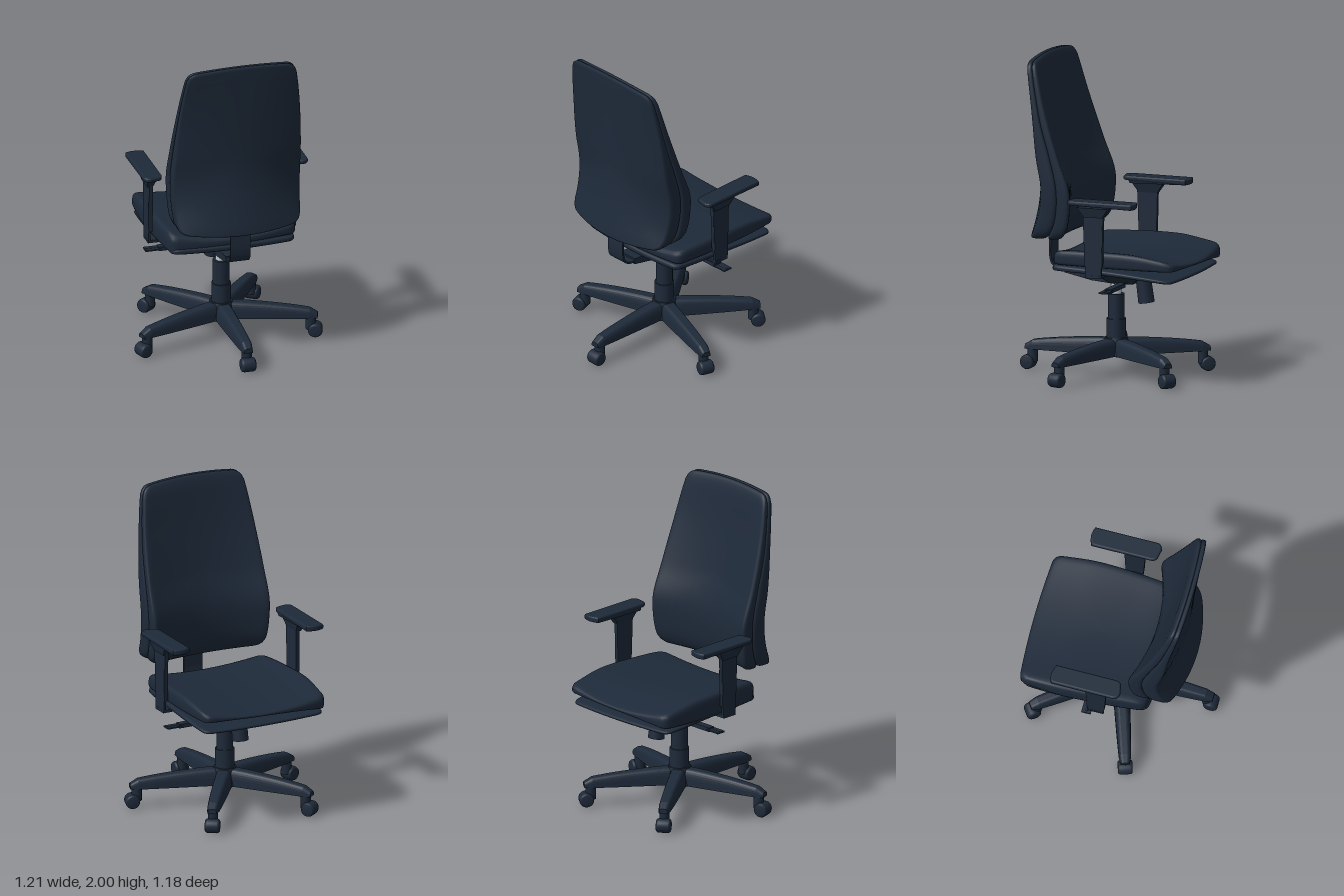
import * as THREE from 'three';

const dark = new THREE.MeshStandardMaterial({ color: 0x1e2a3a });
dark.name = 'dark navy';
const steel = new THREE.MeshStandardMaterial({ color: 0xc4c9ce });
steel.name = 'light steel';

const CZ = -0.035; // column axis

function add(parent, name, geo, x = 0, y = 0, z = 0, mat = dark) {
  const m = new THREE.Mesh(geo, mat);
  m.name = name;
  m.position.set(x, y, z);
  parent.add(m);
  return m;
}

// Smooth interpolation through [key, value] pairs with rising keys
function curve(t) {
  const slope = i => {
    const a = t[Math.max(i - 1, 0)], b = t[Math.min(i + 1, t.length - 1)];
    return (b[1] - a[1]) / (b[0] - a[0]);
  };
  return k => {
    if (k <= t[0][0]) return t[0][1];
    if (k >= t[t.length - 1][0]) return t[t.length - 1][1];
    let i = 0;
    while (k > t[i + 1][0]) i++;
    const h = t[i + 1][0] - t[i][0], s = (k - t[i][0]) / h;
    return (1 + 2 * s) * (1 - s) ** 2 * t[i][1] + s * (1 - s) ** 2 * h * slope(i)
      + s * s * (3 - 2 * s) * t[i + 1][1] + s * s * (s - 1) * h * slope(i + 1);
  };
}

// Rounded rectangle outline (b0..b1), with half width varying along b and bowed ends
function outline(b0, b1, r, halfWidth, bow0, bow1) {
  const s = new THREE.Shape();
  s.moveTo(0, b0).lineTo(1 - r * 2.4, b0);
  s.quadraticCurveTo(1, b0, 1, b0 + r).lineTo(1, b1 - r);
  s.quadraticCurveTo(1, b1, 1 - r * 2.4, b1).lineTo(-1 + r * 2.4, b1);
  s.quadraticCurveTo(-1, b1, -1, b1 - r).lineTo(-1, b0 + r);
  s.quadraticCurveTo(-1, b0, -1 + r * 2.4, b0).lineTo(0, b0);
  return s.getSpacedPoints(144).slice(0, -1).map(p => {
    const f = (p.y - b0) / (b1 - b0);
    const y = p.y + p.x * p.x * ((1 - f) ** 6 * bow0 - f ** 6 * bow1);
    return [p.x * halfWidth(y), y];
  });
}

// Cushion-like body: outline rings shrink to a centre on both faces
const RINGS = [[0.001, 0], [0.15, 0], [0.3, 0], [0.45, 0], [0.6, 0], [0.72, 0], [0.82, 0], [0.89, 0], [0.94, 0.01], [0.97, 0.06],
  [0.988, 0.16], [0.997, 0.3], [1, 0.45], [1, 0.8], [0.99, 0.95], [0.97, 1], [0.85, 1], [0.7, 1], [0.5, 1], [0.3, 1], [0.15, 1], [0.001, 1]];
function pad(pts, cb, near, far, place) {
  const pos = [], idx = [], n = pts.length;
  for (const [s, t] of RINGS)
    for (const [a, b] of pts) {
      const u = a * s, v = cb + (b - cb) * s;
      pos.push(...place(u, v, near(u, v) * (1 - t) + far(u, v) * t));
    }
  for (let i = 0; i < RINGS.length - 1; i++)
    for (let j = 0; j < n; j++) {
      const a = i * n + j, b = i * n + (j + 1) % n, c = a + n, d = b + n;
      idx.push(a, b, c, b, d, c);
    }
  const g = new THREE.BufferGeometry();
  g.setAttribute('position', new THREE.Float32BufferAttribute(pos, 3));
  g.setIndex(idx);
  g.computeVertexNormals();
  return g;
}

// Side profile of [z, y] points, extruded across x and centred
function sideExtrude(pts, width) {
  const s = new THREE.Shape(pts.map(p => new THREE.Vector2(...p)));
  return new THREE.ExtrudeGeometry(s, { depth: width, bevelEnabled: false })
    .translate(0, 0, -width / 2).rotateY(-Math.PI / 2);
}

// Square frustum with half sizes at top and bottom
function frustum(top, bottom, h, zScale) {
  const g = new THREE.CylinderGeometry(top * Math.SQRT2, bottom * Math.SQRT2, h, 4).rotateY(Math.PI / 4).scale(1, 1, zScale).toNonIndexed();
  g.computeVertexNormals();
  return g;
}

function buildBackrest(chair) {
  const g = new THREE.Group();
  g.name = 'backrest';
  chair.add(g);
  const half = curve([[0.87, 0.39], [1, 0.402], [1.2, 0.41], [1.4, 0.405], [1.6, 0.393], [1.8, 0.372], [2, 0.34]]);
  const front = curve([[0.87, 0.17], [0.97, 0.128], [1.12, 0.113], [1.22, 0.122], [1.4, 0.19], [1.7, 0.285], [1.93, 0.345], [2, 0.37]]);
  const seam = curve([[0.87, 0.27], [1, 0.215], [1.2, 0.205], [1.4, 0.25], [1.6, 0.31], [1.8, 0.355], [2, 0.395]]);
  const rearSide = curve([[0.87, 0.38], [1.03, 0.32], [1.2, 0.305], [1.4, 0.34], [1.7, 0.375], [2, 0.425]]);
  const rearMid = curve([[0.87, 0.462], [1.2, 0.403], [1.4, 0.403], [1.7, 0.42], [2, 0.44]]);
  const wrap = curve([[0.87, 0.085], [1.2, 0.085], [1.6, 0.05], [2, 0.018]]);
  const q = x => (x / 0.405) ** 2;
  const frontZ = (x, y) => front(y) + wrap(y) * (1 - q(x));
  const seamZ = (x, y) => seam(y) + wrap(y) * (1 - q(x));
  const rearZ = (x, y) => rearMid(y) + (rearSide(y) - rearMid(y)) * q(x);
  const place = (a, b, d) => [a, b, d];
  const pts = outline(0.87, 2, 0.065, half, 0.018, 0.022);
  add(g, 'backCushion', pad(pts, 1.43, frontZ, seamZ, place));
  add(g, 'backShell', pad(pts, 1.43, (x, y) => seamZ(x, y) - 0.005, rearZ, place));
}

function buildSeat(chair) {
  const g = new THREE.Group();
  g.name = 'seat';
  chair.add(g);
  const half = curve([[-0.585, 0.42], [-0.3, 0.437], [0, 0.425], [0.26, 0.4]]);
  const top = curve([[-0.585, 0.79], [-0.5, 0.807], [-0.3, 0.836], [0, 0.84], [0.18, 0.835], [0.26, 0.815]]);
  const low = curve([[-0.585, 0.682], [-0.2, 0.722], [0.26, 0.74]]);
  const under = curve([[-0.57, 0.66], [-0.2, 0.69], [0.27, 0.7]]);
  const place = (a, b, d) => [a, d, b];
  const topY = (x, z) => top(z) - 0.037 * (1 - (x / 0.42) ** 2);
  add(g, 'seatCushion', pad(outline(-0.588, 0.26, 0.05, half, 0.02, 0.03), -0.16, topY, low, place));
  add(g, 'seatShell', pad(outline(-0.568, 0.27, 0.05, z => half(z) - 0.008, 0.02, 0.03), -0.15,
    (x, z) => low(z) - 0.002, (x, z) => under(z), place));
}

function buildArm(chair, side) {
  const g = new THREE.Group();
  g.name = side > 0 ? 'leftArmrest' : 'rightArmrest';
  chair.add(g);
  // Pad with arched ends, thinner towards its tips
  const s = new THREE.Shape();
  s.moveTo(-0.05, -0.325).quadraticCurveTo(0, -0.35, 0.048, -0.33);
  s.lineTo(0.05, 0.06).quadraticCurveTo(0.047, 0.082, 0.02, 0.086);
  s.lineTo(-0.035, 0.075).quadraticCurveTo(-0.05, 0.068, -0.05, 0.04);
  s.closePath();
  const geo = new THREE.ExtrudeGeometry(s, { depth: 0.026, bevelSize: 0.01, bevelThickness: 0.01, bevelSegments: 3, curveSegments: 10 });
  geo.rotateX(Math.PI / 2);
  if (side < 0) geo.rotateZ(Math.PI).translate(0, -0.026, 0);
  const p = geo.attributes.position;
  for (let i = 0; i < p.count; i++) {
    const z = p.getZ(i), lift = z > 0.04 ? 0.018 : z < -0.3 ? 0.01 : 0;
    if (p.getY(i) < -0.013) p.setY(i, p.getY(i) + lift);
  }
  geo.computeVertexNormals();
  add(g, 'armPad', geo, side * 0.468, 1.158, 0);
  add(g, 'armPost', sideExtrude([[0, 1.1], [-0.13, 1.1], [-0.12, 0.685], [-0.015, 0.685]], 0.014), side * 0.467);
  add(g, 'armSleeve', sideExtrude([[0.002, 1.08], [-0.132, 1.08], [-0.124, 0.76], [-0.01, 0.76]], 0.024), side * 0.46);
  add(g, 'armBracket', frustum(0.03, 0.018, 0.06, 3.4), side * 0.465, 1.095, -0.068);
  add(g, 'armSupport', new THREE.BoxGeometry(0.3, 0.018, 0.1), side * 0.325, 0.692, -0.067);
  // Adjustment lever under the seat
  const rod = new THREE.CylinderGeometry(0.007, 0.007, 0.4, 10).rotateZ(Math.PI / 2);
  add(g, 'leverRod', rod, side * 0.265, 0.592, -0.13);
  add(g, 'leverPaddle', new THREE.BoxGeometry(0.24, 0.026, 0.045), side * 0.26, 0.592, -0.13);
  add(g, 'leverTip', new THREE.BoxGeometry(0.1, 0.009, 0.06), side * 0.415, 0.592, -0.13);
}

function buildMechanism(chair) {
  const g = new THREE.Group();
  g.name = 'mechanism';
  chair.add(g);
  add(g, 'mountPlate', new THREE.BoxGeometry(0.52, 0.03, 0.46), 0, 0.685, -0.08);
  add(g, 'tiltHousing', frustum(0.15, 0.065, 0.1, 1.2), 0, 0.632, -0.09);
  add(g, 'backArm', sideExtrude([[0.28, 0.668], [0.1, 0.65], [-0.05, 0.62], [-0.05, 0.58], [0.1, 0.592], [0.28, 0.63]], 0.13));
  // Bent strip carrying the backrest
  const path = new THREE.CatmullRomCurve3([[0.376, 1], [0.376, 0.85], [0.378, 0.74], [0.365, 0.685], [0.33, 0.658], [0.26, 0.648]]
    .map(([z, y]) => new THREE.Vector3(z, y, 0))).getPoints(30);
  const strip = [1, -1].flatMap(k => {
    const row = path.map((p, i) => {
      const t = path[Math.min(i + 1, 30)].clone().sub(path[Math.max(i - 1, 0)]).normalize();
      return [p.x - t.y * 0.006 * k, p.y + t.x * 0.006 * k];
    });
    return k > 0 ? row : row.reverse();
  });
  add(g, 'backBar', sideExtrude(strip, 0.13));
  const knob = add(g, 'tensionKnob', new THREE.CylinderGeometry(0.047, 0.051, 0.19, 24), 0, 0.56, -0.222);
  knob.rotation.x = 0.14;
}

function buildBase(chair) {
  const g = new THREE.Group();
  g.name = 'base';
  g.position.z = CZ;
  chair.add(g);
  add(g, 'gasRod', new THREE.CylinderGeometry(0.034, 0.034, 0.12, 24), 0, 0.55, 0, steel);
  add(g, 'columnUpper', new THREE.CylinderGeometry(0.052, 0.052, 0.16, 28), 0, 0.43, 0);
  add(g, 'columnLower', new THREE.CylinderGeometry(0.06, 0.062, 0.22, 28), 0, 0.245, 0);
  add(g, 'hub', new THREE.CylinderGeometry(0.07, 0.1, 0.11, 28), 0, 0.182, 0);
  // Arched leg section, shaped along its length
  const section = new THREE.Shape();
  section.moveTo(-1, 0).lineTo(1, 0).lineTo(0.95, 0.45).quadraticCurveTo(0.85, 1, 0.35, 1);
  section.lineTo(-0.35, 1).quadraticCurveTo(-0.85, 1, -0.95, 0.45).closePath();
  const legGeo = new THREE.ExtrudeGeometry(section, { depth: 0.595, steps: 12, bevelEnabled: false, curveSegments: 6 });
  const height = curve([[0, 0.105], [0.15, 0.1], [0.35, 0.084], [0.5, 0.066], [0.57, 0.052], [0.595, 0.03]]);
  const width = curve([[0, 0.055], [0.3, 0.048], [0.56, 0.037], [0.595, 0.028]]);
  const p = legGeo.attributes.position;
  for (let i = 0; i < p.count; i++) {
    const z = p.getZ(i);
    p.setXYZ(i, p.getX(i) * width(z), 0.128 + p.getY(i) * height(z), z);
  }
  legGeo.computeVertexNormals();
  // Caster barrel with softened rims
  const wheelGeo = new THREE.LatheGeometry([[0, -0.046], [0.034, -0.045], [0.041, -0.04], [0.045, -0.03], [0.045, 0.03],
    [0.041, 0.04], [0.034, 0.045], [0, 0.046]].map(q => new THREE.Vector2(...q)), 28).rotateZ(Math.PI / 2);
  for (let i = 0; i < 5; i++) {
    const leg = new THREE.Group();
    leg.name = 'leg' + (i + 1);
    leg.rotation.y = i * Math.PI * 2 / 5;
    g.add(leg);
    add(leg, 'legBeam', legGeo);
    add(leg, 'casterStem', new THREE.CylinderGeometry(0.032, 0.032, 0.09, 16), 0, 0.093, 0.552);
    add(leg, 'casterWheel', wheelGeo, 0, 0.046, 0.58);
  }
}

export function createModel() {
  const chair = new THREE.Group();
  chair.name = 'officeChair';
  buildBackrest(chair);
  buildSeat(chair);
  buildArm(chair, 1);
  buildArm(chair, -1);
  buildMechanism(chair);
  buildBase(chair);
  return chair;
}
